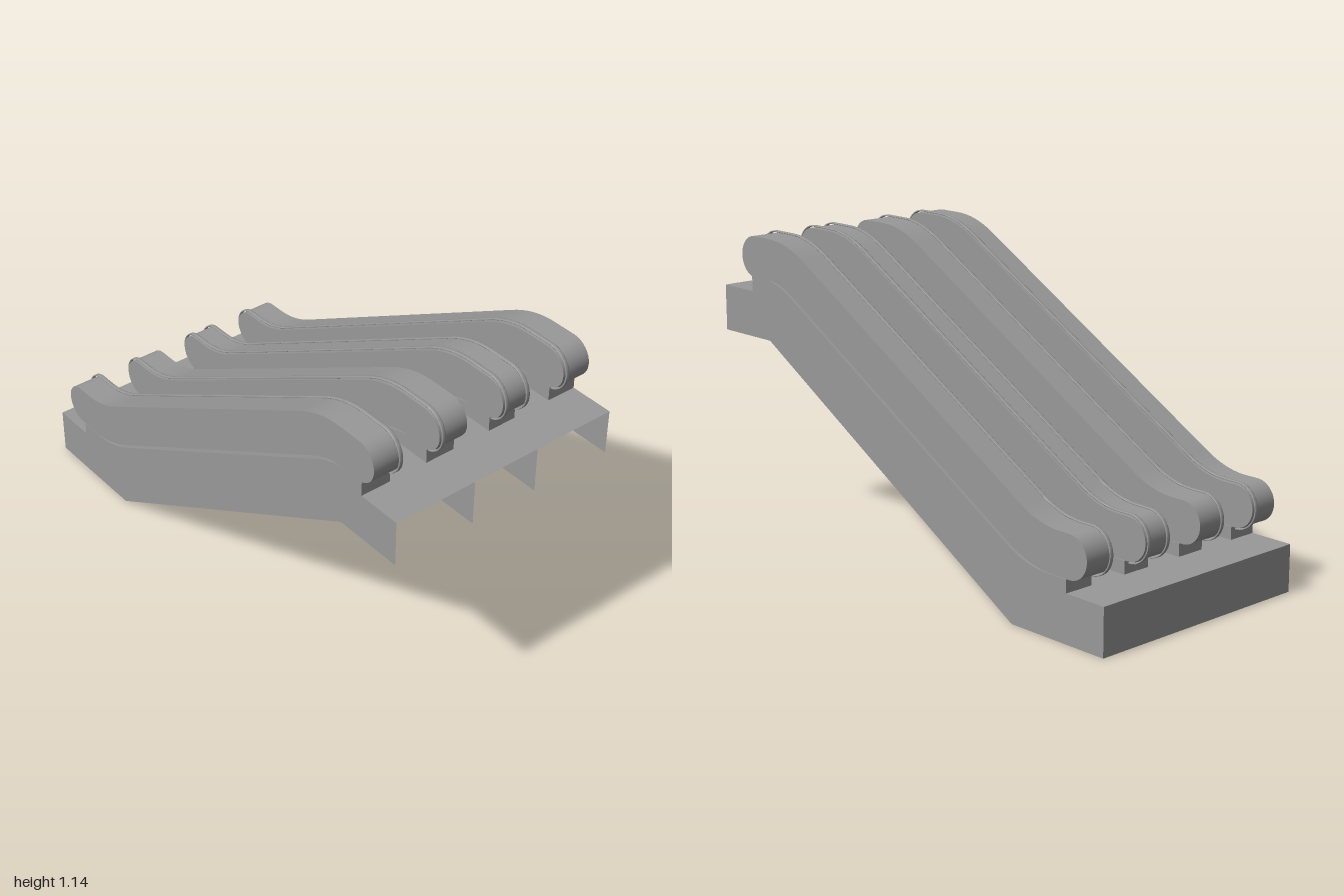
import * as THREE from 'three';
import { toCreasedNormals } from 'three/addons/utils/BufferGeometryUtils.js';

const W = 0.463;          // half width
const SLOPE = 0.572;      // rise per unit of run
const TOP = 0.927;        // upper landing height
const R = 0.0775;         // half height of the balustrade panel
const HIGH = 1.0575, LOW = 0.302; // centre heights of its level ends
const mat = new THREE.MeshStandardMaterial({ color: 0x999999 });
const thin = new THREE.MeshStandardMaterial({ color: 0x999999, side: THREE.DoubleSide });

function add(parent, name, geo, material = mat) {
  const mesh = new THREE.Mesh(geo, material);
  mesh.name = name;
  parent.add(mesh);
}

// Side profile drawn as (z, y), extruded across x from x0 to x1, edges rounded by bevel
function slab(shape, x0, x1, bevel = 0) {
  const geo = new THREE.ExtrudeGeometry(shape, {
    depth: x1 - x0 - 2 * bevel, curveSegments: 12,
    bevelEnabled: bevel > 0, bevelSize: bevel, bevelThickness: bevel, bevelSegments: 2,
  });
  geo.rotateY(-Math.PI / 2).translate(x1 - bevel, 0, 0);
  return toCreasedNormals(geo, 0.8);
}

// Open folded sheet through (z, y) points, spanning x0 to x1
function sheet(pts, x0, x1) {
  const pos = [];
  for (let i = 0; i < pts.length - 1; i++) {
    const [z0, y0] = pts[i], [z1, y1] = pts[i + 1];
    pos.push(x0, y0, z0, x1, y1, z1, x1, y0, z0, x0, y0, z0, x0, y1, z1, x1, y1, z1);
  }
  const geo = new THREE.BufferGeometry();
  geo.setAttribute('position', new THREE.Float32BufferAttribute(pos, 3));
  geo.computeVertexNormals();
  return geo;
}

// Rounds the corner between a level run and the slope; dir is the travel along z
function bend(path, z, y, t, dir, levelFirst) {
  const level = -dir * t, slope = dir * t;
  const a = levelFirst ? [z + level, y] : [z - slope, y - slope * SLOPE];
  const b = levelFirst ? [z + slope, y + slope * SLOPE] : [z - level, y];
  path.lineTo(...a);
  path.quadraticCurveTo(z, y, ...b);
}

// Upper edge of the balustrade: round the high end, down the slope, round the low end
function railEdge(path, grow) {
  const r = R + grow;
  const zAt = (y) => (y - 0.692 - r * 1.152) / SLOPE;
  path.moveTo(0.8, HIGH - r);
  path.lineTo(0.81, HIGH - r);
  path.absarc(0.81, HIGH, r, -Math.PI / 2, Math.PI / 2, false);
  bend(path, zAt(HIGH + r), HIGH + r, 0.1, -1, true);
  bend(path, zAt(LOW + r), LOW + r, 0.09, -1, false);
  path.lineTo(-0.845, LOW + r);
  path.absarc(-0.845, LOW, r, Math.PI / 2, Math.PI * 1.5, false);
  return path;
}

function balustradeShape() {
  const s = railEdge(new THREE.Shape(), 0);
  bend(s, -0.661, LOW - R, 0.1, 1, true);
  bend(s, 0.659, HIGH - R, 0.07, 1, false);
  s.closePath();
  return s;
}

// Thin belt standing just clear of the balustrade edge
function beltShape() {
  const outer = railEdge(new THREE.Path(), 0.0075).getPoints(14);
  const inner = railEdge(new THREE.Path(), 0.006).getPoints(14);
  return new THREE.Shape([...outer, ...inner.reverse()]);
}

// Pedestal under the balustrade, resting on the step line
function baseShape() {
  const s = new THREE.Shape();
  s.moveTo(-0.83, 0.175);
  s.lineTo(-0.63, 0.175);
  s.lineTo(0.69, TOP);
  s.lineTo(0.83, TOP);
  s.lineTo(0.83, 0.981);
  bend(s, 0.684, 0.981, 0.07, -1, true);
  bend(s, -0.64, 0.223, 0.1, -1, false);
  s.lineTo(-0.83, 0.223);
  s.closePath();
  return s;
}

// Truss plate below the step line
function plateShape() {
  const pts = [[-1, 0], [-0.575, 0], [0.73, 0.754], [1, 0.754], [1, TOP], [0.69, TOP], [-0.63, 0.175], [-1, 0.175]];
  return new THREE.Shape(pts.map(([z, y]) => new THREE.Vector2(z, y)));
}

export function createModel() {
  const model = new THREE.Group();
  model.name = 'escalatorBank';

  // Balustrades: x range and the centres of their belts
  const balustrades = [
    [-W, -0.347, [-0.359]],
    [-0.194, -0.077, [-0.182]],
    [0.077, 0.191, [0.089, 0.18]],
    [0.346, W, [0.358]],
  ];
  balustrades.forEach(([x0, x1, belts], i) => {
    const g = new THREE.Group();
    g.name = `balustrade${i + 1}`;
    add(g, 'balustradePanel', slab(balustradeShape(), x0, x1));
    add(g, 'balustradeBase', slab(baseShape(), x0, x1));
    belts.forEach((x) => add(g, 'handrailBelt', slab(beltShape(), x - 0.0075, x + 0.0075, 0.002)));
    model.add(g);
  });

  // Flights of steps between the balustrades, just below the landing line
  const count = 22, run = 1.32 / count, rise = (TOP - 0.165) / count;
  const stairs = [[-0.63, 0.175], [-0.63, 0.165]];
  for (let i = 1; i <= count; i++) {
    const z = -0.63 + i * run;
    stairs.push([z, 0.165 + (i - 1) * rise], [z, 0.165 + i * rise]);
  }
  [[-0.349, -0.194], [-0.079, 0.078], [0.191, 0.348]].forEach(([x0, x1]) => {
    add(model, 'steps', sheet(stairs, x0, x1), thin);
  });

  // Landings; the low one folds down to the floor, the high one is open
  add(model, 'lowerLanding', sheet([[-1, 0], [-1, 0.175], [-0.63, 0.175]], -W, W), thin);
  add(model, 'upperLanding', sheet([[0.69, TOP], [1, TOP]], -W, W), thin);

  // Truss plates at the outer sides and under the middle balustrades
  for (const x of [-W, -0.136, 0.136, W]) {
    const geo = new THREE.ShapeGeometry(plateShape());
    geo.rotateY(-Math.PI / 2).translate(x, 0, 0);
    add(model, 'trussPlate', geo, thin);
  }
  return model;
}
